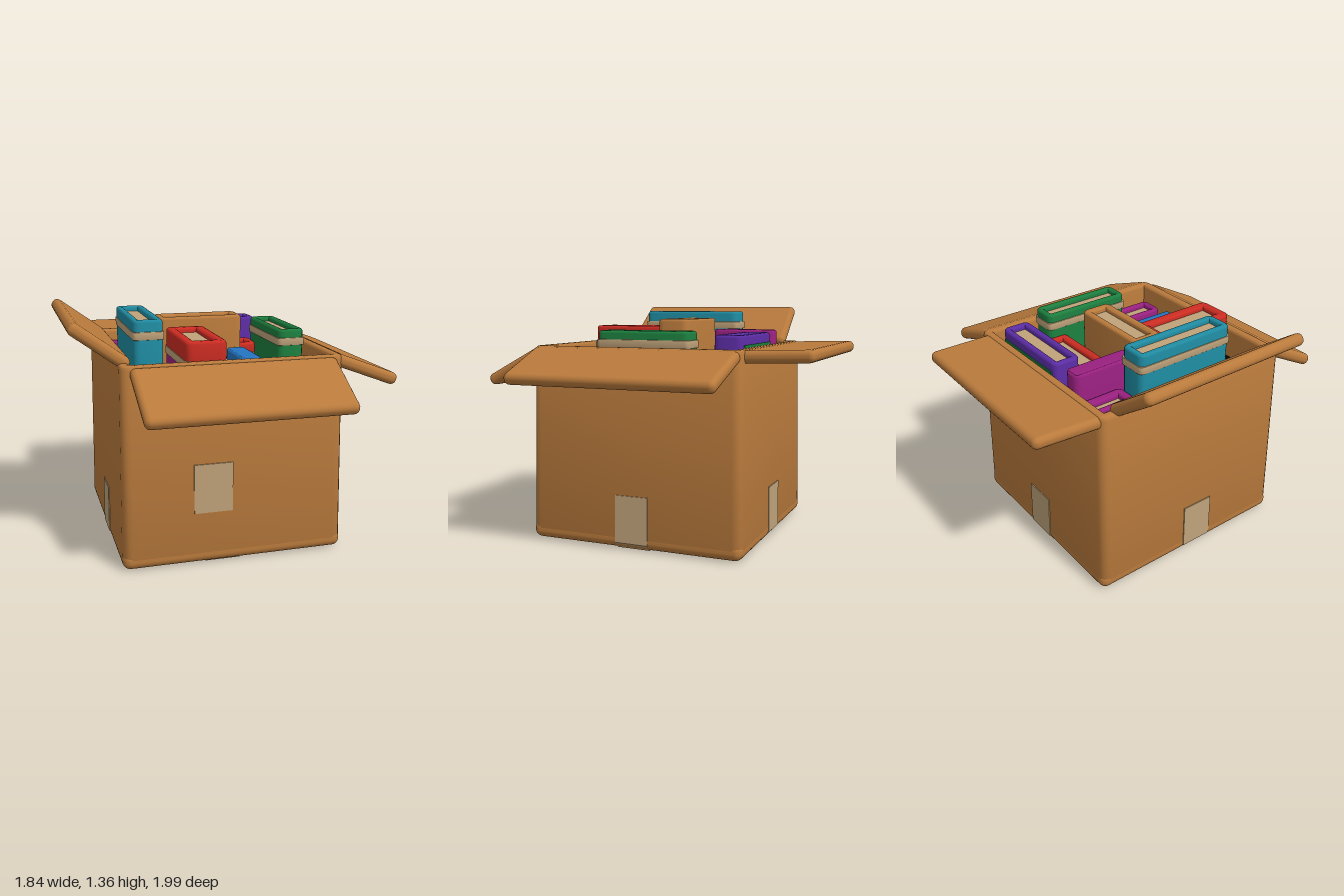
import * as THREE from 'three';
import { toCreasedNormals } from 'three/addons/utils/BufferGeometryUtils.js';
import { RoundedBoxGeometry } from 'three/addons/geometries/RoundedBoxGeometry.js';

const COLORS = {
  cardboard: 0xb97a3c, paper: 0xbfa27a, teal: 0x1f8aa0, red: 0xcb2c22, magenta: 0x98207f,
  purple: 0x5a2ca2, green: 0x1c7d3e, blue: 0x2474c0, black: 0x0c0c0e,
};

function roundedRect(path, w, d, r) {
  const x = w / 2, y = d / 2;
  path.moveTo(-x + r, -y);
  path.lineTo(x - r, -y).quadraticCurveTo(x, -y, x, -y + r);
  path.lineTo(x, y - r).quadraticCurveTo(x, y, x - r, y);
  path.lineTo(-x + r, y).quadraticCurveTo(-x, y, -x, y - r);
  path.lineTo(-x, -y + r).quadraticCurveTo(-x, -y, -x + r, -y);
  return path;
}

// Upright rectangular tube with softened edges, from y0 to y1
function ring(w, d, wall, r, y0, y1, bevel) {
  const shape = roundedRect(new THREE.Shape(), w - 2 * bevel, d - 2 * bevel, r);
  const inner = 2 * wall - 2 * bevel;
  shape.holes.push(roundedRect(new THREE.Path(), w - inner, d - inner, r * 0.5));
  const geo = new THREE.ExtrudeGeometry(shape, {
    depth: y1 - y0 - 2 * bevel, bevelSize: bevel, bevelThickness: bevel, bevelSegments: 3, curveSegments: 4,
  });
  geo.rotateX(-Math.PI / 2).translate(0, y0 + bevel, 0);
  return toCreasedNormals(geo, 0.7);
}

export function createModel() {
  const model = new THREE.Group();
  model.name = 'boxOfBooks';
  const mats = {};
  for (const [name, color] of Object.entries(COLORS)) {
    mats[name] = new THREE.MeshStandardMaterial({ color });
    mats[name].name = name;
  }
  const add = (parent, name, geo, mat, x = 0, y = 0, z = 0) => {
    const mesh = new THREE.Mesh(geo, mats[mat]);
    mesh.name = name;
    mesh.position.set(x, y, z);
    parent.add(mesh);
    return mesh;
  };
  const CX = -0.05;

  // Carton: four walls with a slight taper, and a rounded base
  const carton = new THREE.Group();
  carton.name = 'carton';
  carton.position.x = CX;
  model.add(carton);
  const walls = ring(1.28, 1.3, 0.06, 0.035, 0.03, 1.14, 0.02);
  const p = walls.attributes.position;
  for (let i = 0; i < p.count; i++) {
    const k = 1 - 0.025 * p.getY(i);
    p.setX(i, p.getX(i) * k);
    p.setZ(i, p.getZ(i) * k);
  }
  add(carton, 'walls', walls, 'cardboard');
  add(carton, 'base', new RoundedBoxGeometry(1.28, 0.1, 1.3, 3, 0.045), 'cardboard', 0, 0.05, 0);

  // Dark lining
  add(carton, 'liningFloor', new THREE.BoxGeometry(1.16, 0.008, 1.18), 'black', 0, 0.105, 0);
  for (const s of [-1, 1]) {
    add(carton, 'liningSide', new THREE.BoxGeometry(0.008, 0.85, 1.16), 'black', s * 0.563, 0.53, 0);
    add(carton, 'liningEnd', new THREE.BoxGeometry(1.13, 0.85, 0.008), 'black', 0, 0.53, s * 0.573);
  }

  // Flaps: yaw turns each outward, pitch tips it down from its hinge
  function flap(name, [x, y, z], length, near, far, yaw, pitch) {
    const geo = new RoundedBoxGeometry(near, 0.07, length, 3, 0.032);
    geo.translate(0, 0, length / 2);
    const q = geo.attributes.position;
    for (let i = 0; i < q.count; i++) {
      q.setX(i, q.getX(i) * THREE.MathUtils.lerp(1, far / near, q.getZ(i) / length));
    }
    const mesh = add(model, name, geo, 'cardboard', x, y, z);
    mesh.rotation.set(pitch, yaw, 0, 'YXZ');
  }
  flap('frontFlap', [CX, 1.11, 0.61], 0.425, 1.15, 1.13, 0, 0.48);
  flap('backFlap', [CX - 0.02, 1.1, -0.6], 0.4, 1.17, 1.13, Math.PI, -0.03);
  flap('rightFlap', [-0.61, 1.12, 0], 0.375, 1.09, 1.08, -Math.PI / 2, -0.63);
  flap('leftFlap', [0.54, 1.11, 0], 0.405, 1.25, 1.22, Math.PI / 2, 0.36);

  // Paper label and tape strips that wrap underneath
  const label = add(model, 'frontLabel', new THREE.BoxGeometry(0.22, 0.28, 0.009), 'paper', -0.18, 0.44, 0.645);
  label.rotation.x = -0.014;
  const tapes = [
    ['leftTape', 0.592, 0, Math.PI / 2, true], ['backTape', -0.04, -0.652, Math.PI, true],
    ['rightTape', -0.692, 0.04, -Math.PI / 2, true], ['frontTape', -0.12, 0.652, 0, false],
  ];
  for (const [name, x, z, yaw, upright] of tapes) {
    const tape = new THREE.Group();
    tape.name = name;
    tape.position.set(x, 0, z);
    tape.rotation.y = yaw;
    if (upright) {
      add(tape, 'tapeSide', new THREE.BoxGeometry(0.2, 0.275, 0.009), 'paper', 0, 0.17, -0.004).rotation.x = -0.014;
      add(tape, 'tapeFold', new THREE.BoxGeometry(0.2, 0.052, 0.009), 'paper', 0, 0.017, -0.02).rotation.x = Math.PI / 4;
    }
    add(tape, 'tapeUnder', new THREE.BoxGeometry(0.2, 0.008, 0.17), 'paper', 0, 0.001, -0.12);
    model.add(tape);
  }

  // Books: cover x0, x1, z0, z1, top, colour, then lower colour and where it starts
  const books = [
    [-0.59, -0.37, -0.57, -0.29, 1.07, 'magenta'],
    [-0.36, -0.25, -0.57, -0.18, 1.22, 'magenta'],
    [-0.17, 0.39, -0.58, -0.41, 1.21, 'purple'],
    [-0.16, 0.34, -0.38, -0.18, 1.08, 'red', 'cardboard', 1.02],
    [-0.55, -0.38, -0.29, 0.34, 1.33, 'teal'],
    [-0.34, 0.17, -0.17, 0.02, 1.29, 'cardboard'],
    [-0.31, -0.08, 0.04, 0.57, 1.24, 'red', 'magenta', 1.1],
    [0.32, 0.48, -0.3, 0.26, 1.23, 'green'],
    [0.06, 0.18, 0.04, 0.5, 1.1, 'blue'],
    [0.31, 0.47, 0.27, 0.55, 1.05, 'magenta', 'green', 0.9],
    [-0.6, -0.47, 0.13, 0.57, 1.04, 'cardboard', 'red', 0.97],
    [-0.41, -0.31, 0.28, 0.54, 0.96, 'cardboard'],
    [0.19, 0.28, 0.1, 0.35, 0.96, 'cardboard'],
    [0.18, 0.31, -0.16, 0.03, 0.75, 'red'],
  ];
  for (const [x0, x1, z0, z1, top, color, lower, split] of books) {
    const w = x1 - x0, d = z1 - z0, wall = Math.min(w, d) * 0.24;
    const book = new THREE.Group();
    book.name = color + 'Book';
    book.position.set((x0 + x1) / 2, 0, (z0 + z1) / 2);
    add(book, 'cover', ring(w, d, wall, 0.025, lower ? split - 0.02 : 0.11, top, 0.016), color);
    if (lower) add(book, 'lowerCover', ring(w, d, wall, 0.025, 0.11, split, 0.004), lower);
    const h = top - 0.03 - 0.11;
    add(book, 'pages', new THREE.BoxGeometry(w - wall * 1.8, h, d - wall * 1.8), 'paper', 0, 0.11 + h / 2, 0);
    model.add(book);
  }

  // Paper bands around three of the books
  const bands = [
    [-0.465, 0.025, 0.17, 0.63, 1.22, 1.265], [0.4, -0.02, 0.16, 0.56, 1.135, 1.18],
    [-0.195, 0.305, 0.23, 0.53, 1.09, 1.135],
  ];
  for (const [x, z, w, d, y0, y1] of bands) {
    add(model, 'bookBand', ring(w + 0.008, d + 0.008, 0.02, 0.025, y0, y1, 0.002), 'paper', x, 0, z);
  }
  // Painted back cover and a divider between twin volumes
  add(model, 'backCover', new THREE.BoxGeometry(0.5, 1.03, 0.008), 'green', 0.11, 0.64, -0.581);
  add(model, 'divider', new RoundedBoxGeometry(0.035, 0.9, 0.25, 2, 0.015), 'magenta', -0.48, 0.61, -0.43);
  return model;
}
